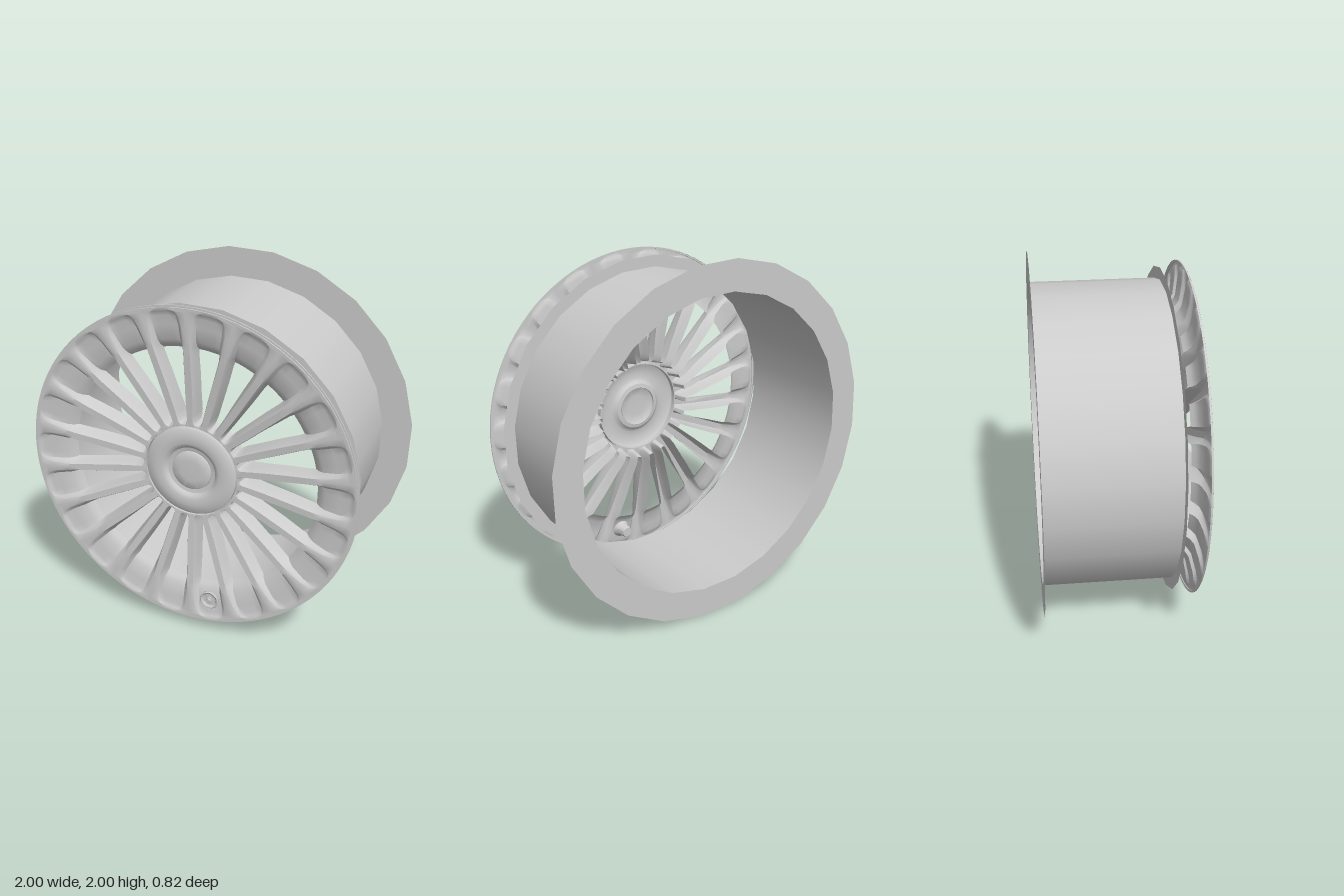
import * as THREE from 'three';
import { toCreasedNormals } from 'three/addons/utils/BufferGeometryUtils.js';

const material = new THREE.MeshStandardMaterial({ color: 0xcccccc, side: THREE.DoubleSide });
const SPOKES = 22;
const HALF = Math.PI / SPOKES;
const TWIST = THREE.MathUtils.degToRad(5.8);

// Sector rows: radius, pocket half width, floor half width, top z, floor z
const ROWS = [
  [0.262, 0.010, 0.006, 0.372, 0.372],
  [0.272, 0.012, 0.008, 0.373, 0.371],
  [0.282, 0.018, 0.010, 0.373, 0.320],
  [0.292, 0.022, 0.013, 0.374, 0.280],
  [0.33, 0.026, 0.017, 0.376, 0.275],
  [0.42, 0.037, 0.026, 0.382, 0.295],
  [0.55, 0.056, 0.040, 0.392, 0.315],
  [0.66, 0.073, 0.054, 0.402, 0.335],
  [0.69, 0.077, 0.055, 0.404, 0.343],
  [0.71, 0.080, 0.060, 0.405, 0.362],
  [0.74, 0.083, 0.063, 0.407, 0.380],
  [0.82, 0.088, 0.070, 0.410, 0.392],
  [0.87, 0.084, 0.066, 0.410, 0.397],
  [0.892, 0.072, 0.052, 0.410, 0.402],
  [0.902, 0.050, 0.035, 0.410, 0.410],
  [0.915, 0.050, 0.035, 0.410, 0.410],
];
const WINDOW_START = 3, WINDOW_END = 8;

function add(parent, name, geometry) {
  const mesh = new THREE.Mesh(geometry, material);
  mesh.name = name;
  parent.add(mesh);
  return mesh;
}

// Lathe around the z axis from [radius, z] pairs
function turned(points, segments = 64) {
  const profile = points.map(([r, z]) => new THREE.Vector2(r, z));
  const geometry = new THREE.LatheGeometry(profile, segments).rotateX(Math.PI / 2);
  return toCreasedNormals(geometry, 0.6);
}

// One pocket with half a spoke on each side
function sectorGeometry() {
  const positions = [], index = [];
  let columns = 0;
  for (const [r, p, w, top, floor] of ROWS) {
    const mid = floor + (top - floor) * 0.5;
    const half = [
      [0, floor], [w * 0.5, floor], [w, floor], [w + (p - w) * 0.55, mid],
      [p, top - (top - floor) * 0.1], [p + 0.004, top], [HALF * r, top],
    ];
    const line = [...half.slice(1).reverse().map(([u, z]) => [-u, z]), ...half];
    columns = line.length;
    for (const [u, z] of line) {
      positions.push(r * Math.cos(u / r), r * Math.sin(u / r), z);
    }
  }
  for (let i = 0; i < ROWS.length - 1; i++) {
    for (let j = 0; j < columns - 1; j++) {
      // leave the window open between the spokes
      if (i >= WINDOW_START && i < WINDOW_END && j >= 4 && j < 8) continue;
      const a = i * columns + j, b = a + columns;
      index.push(a, b, b + 1, a, b + 1, a + 1);
    }
  }
  const geometry = new THREE.BufferGeometry();
  geometry.setAttribute('position', new THREE.Float32BufferAttribute(positions, 3));
  geometry.setIndex(index);
  return toCreasedNormals(geometry, 0.7);
}

export function createModel() {
  const model = new THREE.Group();
  model.name = 'wheel';
  const wheel = new THREE.Group();
  wheel.name = 'wheelBody';
  wheel.position.y = 1;
  model.add(wheel);

  // Barrel with its flat lips
  const barrel = new THREE.CylinderGeometry(0.835, 0.835, 0.7, 24, 1, true);
  barrel.rotateX(Math.PI / 2).rotateZ(TWIST).translate(0, 0, -0.06);
  add(wheel, 'barrel', barrel);
  add(wheel, 'rearFlange', new THREE.RingGeometry(0.835, 1.003, 24).rotateZ(TWIST).translate(0, 0, -0.41));
  add(wheel, 'frontLip', new THREE.RingGeometry(0.835, 0.9, 24).rotateZ(TWIST).translate(0, 0, 0.29));

  // Spoked face
  const face = new THREE.Group();
  face.name = 'spokedFace';
  wheel.add(face);
  const sector = sectorGeometry();
  for (let k = 0; k < SPOKES; k++) {
    add(face, 'spokeSector', sector).rotation.z = k * 2 * HALF;
  }

  // Outer edge of the face
  add(wheel, 'rimEdge', turned([[0.925, 0.398], [0.925, 0.404], [0.915, 0.404], [0.914, 0.41]], 88));

  // Hub with groove, dish and centre cap
  add(wheel, 'hub', turned([
    [0.264, 0.372], [0.262, 0.345], [0.256, 0.345], [0.255, 0.37], [0.248, 0.376],
    [0.2, 0.382], [0.165, 0.382], [0.148, 0.376], [0.135, 0.362], [0.112, 0.358],
  ]));
  add(wheel, 'centreCap', turned([[0.112, 0.355], [0.11, 0.365], [0.104, 0.369], [0.06, 0.371], [0, 0.372]], 48));

  // Valve in one pocket near the bottom
  const valve = new THREE.Group();
  valve.name = 'valve';
  valve.position.set(0.79 * Math.sin(HALF), -0.79 * Math.cos(HALF), 0);
  wheel.add(valve);
  add(valve, 'valveSeat', turned([
    [0, 0.32], [0.028, 0.32], [0.034, 0.335], [0.036, 0.36], [0.052, 0.385],
    [0.055, 0.398], [0.05, 0.402], [0.042, 0.399], [0.036, 0.393], [0, 0.393],
  ], 24));
  add(valve, 'valveStem', turned([[0.02, 0.39], [0.02, 0.398], [0.011, 0.4], [0.009, 0.408], [0, 0.408]], 16));

  return model;
}
